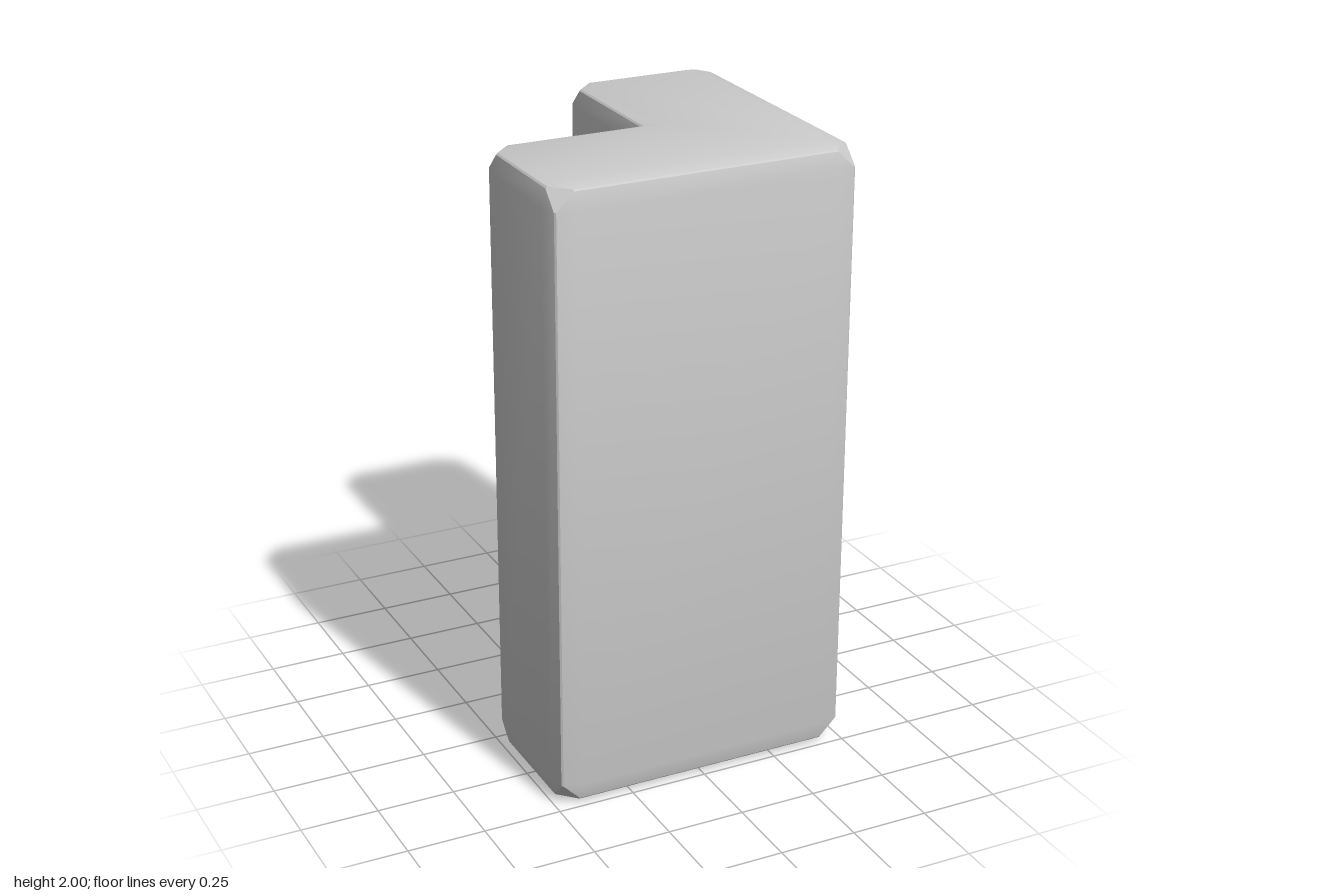
import * as THREE from 'three';
import { toCreasedNormals } from 'three/addons/utils/BufferGeometryUtils.js';

const HEIGHT = 2;
const K = 0.075; // reach of the softened border along each face
const B = 0.02, C = 0.015; // the two sides of the narrow edge chamfer

// L-shaped plan as [x, z], counterclockwise from above
const PLAN = [[-0.5, 0.5], [0.5, 0.5], [0.5, -0.5], [0, -0.5], [0, 0], [-0.5, 0]]
  .map(([x, z]) => new THREE.Vector2(x, z));

// Distance of each ring from the end face
const DEPTHS = [0, C, B, K];

// Four points around one plan corner, for ring 0 (end face) to 3 (full section)
function cornerPoints(i, ring) {
  const n = PLAN.length, p = PLAN[i];
  const u = p.clone().sub(PLAN[(i + n - 1) % n]).normalize();
  const w = PLAN[(i + 1) % n].clone().sub(p).normalize();
  const convex = u.x * w.y - u.y * w.x < 0;
  const at = (a, b) => p.clone().addScaledVector(u, -a).addScaledVector(w, b);
  if (ring === 3) return [at(K, 0), at(B, C), at(C, B), at(0, K)];
  const inset = [K, B, C][ring];
  if (convex) return [at(K, inset), at(K, inset), at(inset, K), at(inset, K)];
  // inner corner: bevel lines meet in a point
  const inner = at(-inset, -inset);
  if (ring === 0) return [inner, inner, inner, inner];
  return [at(K, -inset), inner, inner, at(-inset, K)];
}

function ringAt(ring, y) {
  return PLAN.flatMap((_, i) => cornerPoints(i, ring))
    .map((p) => new THREE.Vector3(p.x, y, p.y));
}

function createBlockGeometry() {
  const positions = [];
  const tri = (a, b, c) => {
    const area = b.clone().sub(a).cross(c.clone().sub(a)).length();
    if (area > 1e-8) for (const v of [a, b, c]) positions.push(v.x, v.y, v.z);
  };

  // Loft from the bottom face to the top face
  const rings = [
    ...DEPTHS.map((d, r) => ringAt(r, d)),
    ...DEPTHS.map((d, r) => ringAt(r, HEIGHT - d)).reverse(),
  ];
  for (let r = 0; r < rings.length - 1; r++) {
    const lo = rings[r], hi = rings[r + 1];
    for (let i = 0; i < lo.length; i++) {
      const j = (i + 1) % lo.length;
      tri(lo[i], lo[j], hi[j]);
      tri(lo[i], hi[j], hi[i]);
    }
  }

  // Flat ends
  const bottom = rings[0].filter((_, i) => i % 4 === 0);
  const top = rings[rings.length - 1].filter((_, i) => i % 4 === 0);
  const outline = top.map((v) => new THREE.Vector2(v.x, -v.z));
  for (const [a, b, c] of THREE.ShapeUtils.triangulateShape(outline, [])) {
    tri(top[a], top[b], top[c]);
    tri(bottom[a], bottom[c], bottom[b]);
  }

  const geometry = new THREE.BufferGeometry();
  geometry.setAttribute('position', new THREE.Float32BufferAttribute(positions, 3));
  return toCreasedNormals(geometry, 0.4);
}

export function createModel() {
  const group = new THREE.Group();
  group.name = 'cornerBlock';
  const block = new THREE.Mesh(
    createBlockGeometry(),
    new THREE.MeshStandardMaterial({ color: 0xcccccc })
  );
  block.name = 'lShapedBlock';
  group.add(block);
  return group;
}
